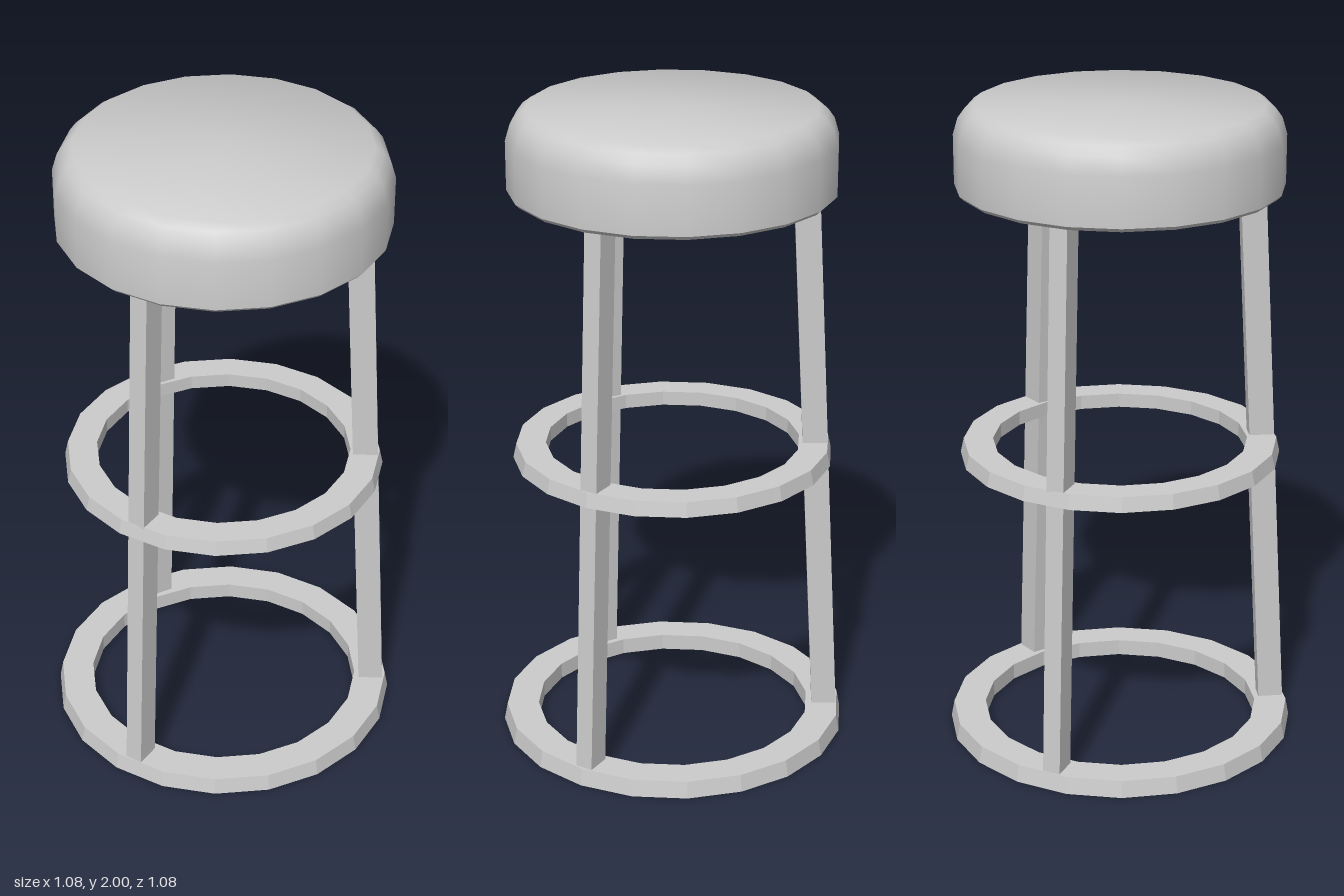
import * as THREE from 'three';
import { toCreasedNormals } from 'three/addons/utils/BufferGeometryUtils.js';

const SIDES = 20;
const smooth = new THREE.MeshStandardMaterial({ color: 0xcccccc });
const flat = new THREE.MeshStandardMaterial({ color: 0xcccccc, flatShading: true, side: THREE.DoubleSide });

function lathe(points) {
  return new THREE.LatheGeometry(points.map(([r, y]) => new THREE.Vector2(r, y)), SIDES);
}

function add(parent, name, geometry, material) {
  const mesh = new THREE.Mesh(geometry, material);
  mesh.name = name;
  parent.add(mesh);
  return mesh;
}

// Straight leg leaning inwards: a box whose upper end is shifted towards the axis
function legGeometry() {
  const bottom = 0.002, top = 1.75;
  const geometry = new THREE.BoxGeometry(0.077, top - bottom, 0.055);
  geometry.translate(0, (top + bottom) / 2, 0);
  const p = geometry.attributes.position;
  for (let i = 0; i < p.count; i++) {
    const t = (p.getY(i) - bottom) / (top - bottom);
    p.setX(i, p.getX(i) + THREE.MathUtils.lerp(0.485, 0.395, t));
  }
  geometry.computeVertexNormals();
  return geometry;
}

export function createModel() {
  const stool = new THREE.Group();
  stool.name = 'barStool';

  // Padded round seat with a rounded upper edge and a small lower bevel
  const seat = lathe([
    [0, 1.745], [0.478, 1.745], [0.49, 1.757], [0.49, 1.905],
    [0.475, 1.955], [0.455, 1.982], [0.43, 2], [0, 2],
  ]);
  add(stool, 'seat', toCreasedNormals(seat, 0.65), smooth);

  // Footrest ring, closed underneath
  add(stool, 'footrestRing', lathe([
    [0.49, 0.907], [0.48, 0.952], [0.39, 0.952], [0.39, 0.907], [0.49, 0.907],
  ]), flat);

  // Base ring, hollow underneath so that the leg ends show
  add(stool, 'baseRing', lathe([
    [0.54, 0], [0.53, 0.052], [0.43, 0.052], [0.43, 0],
  ]), flat);

  // Three legs spaced evenly around the axis
  const leg = legGeometry();
  for (let i = 0; i < 3; i++) {
    add(stool, `leg${i + 1}`, leg, flat).rotation.y = (i * Math.PI * 2) / 3;
  }
  return stool;
}
